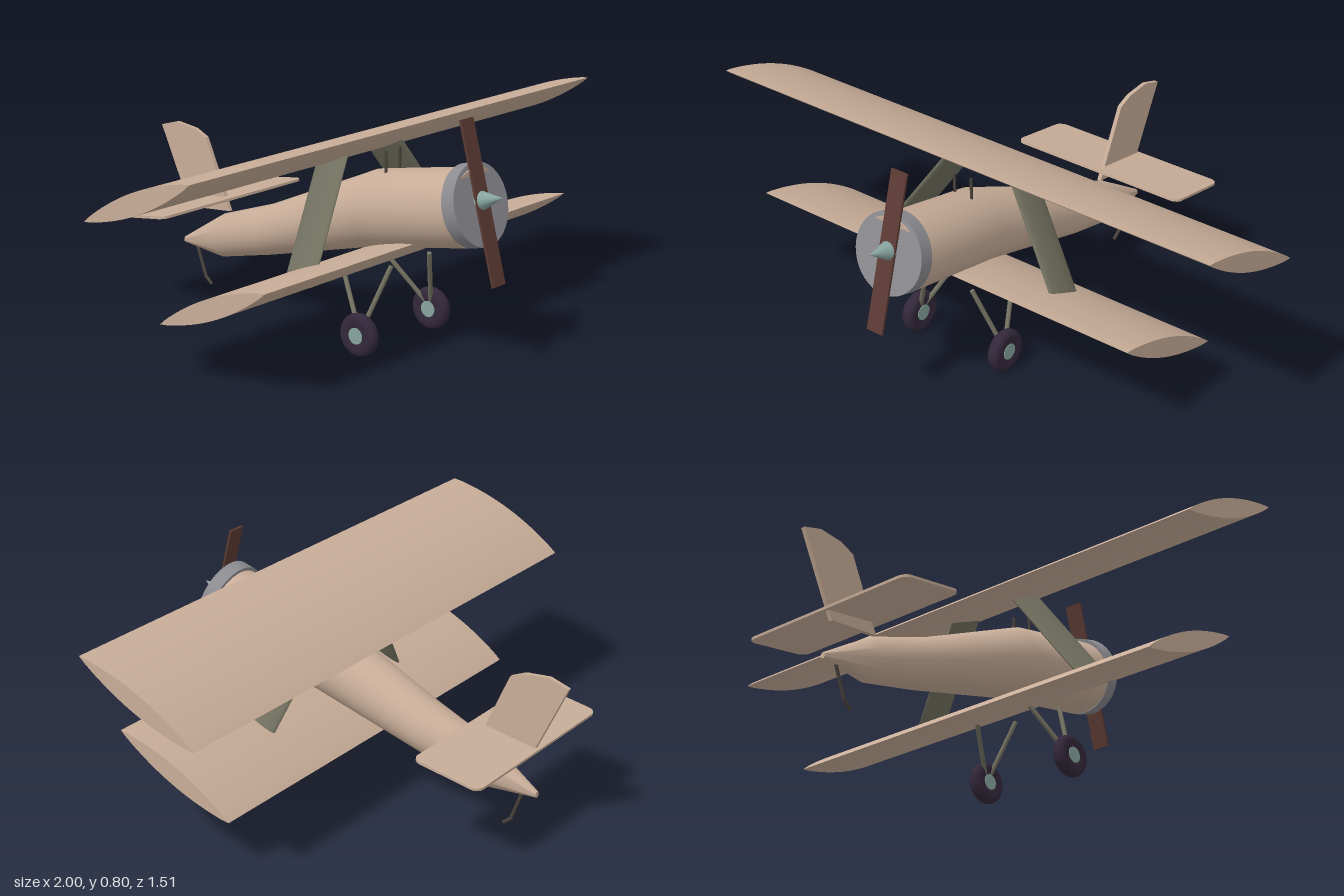
import * as THREE from 'three';
import { toCreasedNormals } from 'three/addons/utils/BufferGeometryUtils.js';

const paint = (name, color) => {
  const m = new THREE.MeshStandardMaterial({ color });
  m.name = name;
  return m;
};

// Skin a list of rings, with flat caps on both ends
function loft(rings, crease = 0.7) {
  const n = rings[0].length, pos = [], idx = [];
  rings.forEach(r => r.forEach(p => pos.push(p.x, p.y, p.z)));
  for (let i = 0; i < rings.length - 1; i++) {
    for (let j = 0; j < n; j++) {
      const a = i * n + j, b = i * n + (j + 1) % n, c = a + n, d = b + n;
      idx.push(a, c, b, b, c, d);
    }
  }
  const last = (rings.length - 1) * n;
  for (let j = 1; j < n - 1; j++) {
    idx.push(0, j, j + 1, last, last + j + 1, last + j);
  }
  const g = new THREE.BufferGeometry();
  g.setAttribute('position', new THREE.Float32BufferAttribute(pos, 3));
  g.setIndex(idx);
  return toCreasedNormals(g, crease);
}

// Ring of points around a centre, spanned by two half-axes
function ring(c, u, v, n = 32) {
  return Array.from({ length: n }, (_, j) => {
    const t = (j / n) * Math.PI * 2;
    return c.clone().addScaledVector(u, Math.cos(t)).addScaledVector(v, Math.sin(t));
  });
}

// Extrude a (z, y) side outline across x
function acrossX(points, width) {
  const g = new THREE.ExtrudeGeometry(new THREE.Shape(points), { depth: width, bevelEnabled: false });
  g.translate(0, 0, -width / 2).rotateY(-Math.PI / 2);
  return toCreasedNormals(g, 0.6);
}

// Leaf-shaped wing section from leading edge to trailing edge
function wingSection(le, te, half) {
  const dir = te.clone().sub(le), normal = new THREE.Vector2(dir.y, -dir.x).normalize();
  const pts = [], n = 20;
  for (let i = 0; i < 2 * n; i++) {
    const s = i <= n ? i / n : 2 - i / n;
    const t = half * Math.pow(Math.max(0, Math.sin(Math.PI * s)), 0.8) * (i <= n ? 1 : -1);
    pts.push(le.clone().addScaledVector(dir, s).addScaledVector(normal, t));
  }
  return pts;
}

export function createModel() {
  const model = new THREE.Group();
  model.name = 'biplane';
  const V = (x, y, z) => new THREE.Vector3(x, y, z);
  const P = (z, y) => new THREE.Vector2(z, y);

  const tan = paint('tan skin', 0xc8ad98);
  const olive = paint('olive struts', 0x72705f);
  const grey = paint('grey cowling', 0x8b8b90);
  const teal = paint('pale teal metal', 0x87a49e);
  const rubber = paint('dark rubber', 0x33283a);
  const wood = paint('dark wood', 0x5c3a33);
  const dark = paint('dark metal', 0x4a423c);

  const add = (name, geometry, material, parent = model) => {
    const m = new THREE.Mesh(geometry, material);
    m.name = name;
    parent.add(m);
    return m;
  };
  const rod = (name, a, b, r, material) => {
    const m = add(name, new THREE.CylinderGeometry(r, r, a.distanceTo(b), 12), material);
    m.position.copy(a).lerp(b, 0.5);
    m.quaternion.setFromUnitVectors(V(0, 1, 0), b.clone().sub(a).normalize());
    return m;
  };

  // Fuselage stations: z, centre height, half width, half height
  const stations = [
    [0.645, 0.519, 0.13, 0.132],
    [0.245, 0.446, 0.118, 0.131],
    [-0.217, 0.285, 0.09, 0.091],
    [-0.45, 0.219, 0.06, 0.079],
    [-0.648, 0.166, 0.01, 0.011],
  ];
  add('fuselage', loft(stations.map(([z, y, rx, ry]) =>
    ring(V(0, y, z), V(rx, 0, 0), V(0, ry, 0), 40))), tan);

  // Nose: cowling, propeller and spinner share one tilted axis
  const nose = new THREE.Group();
  nose.name = 'nose';
  nose.position.set(0, 0.534, 0.67);
  nose.rotation.x = -0.265;
  model.add(nose);
  add('cowling', new THREE.CylinderGeometry(0.136, 0.136, 0.05, 40)
    .rotateX(Math.PI / 2).translate(0, 0, -0.025), grey, nose);
  add('propeller', new THREE.BoxGeometry(0.064, 0.538, 0.008).translate(0, 0.005, 0.006), wood, nose);
  add('spinner', new THREE.ConeGeometry(0.034, 0.09, 28)
    .rotateX(Math.PI / 2).translate(0, 0.012, 0.045), teal, nose);

  // Wings
  add('upperWing', acrossX(wingSection(P(0.383, 0.744), P(-0.07, 0.551), 0.034), 2), tan);
  add('lowerWing', acrossX(wingSection(P(0.455, 0.377), P(0.008, 0.184), 0.034), 1.535), tan);

  // Tail fin
  add('tailFin', acrossX([P(-0.423, 0.312), P(-0.535, 0.56), P(-0.588, 0.584), P(-0.68, 0.595),
    P(-0.753, 0.574), P(-0.62, 0.294)].reverse(), 0.015), tan);

  // Tailplane with rounded corners
  const w = 0.35, h = 0.127, c = 0.03;
  const plan = new THREE.Shape();
  plan.absarc(w - c, h - c, c, 0, Math.PI / 2);
  plan.absarc(c - w, h - c, c, Math.PI / 2, Math.PI);
  plan.absarc(c - w, c - h, c, Math.PI, Math.PI * 1.5);
  plan.absarc(w - c, c - h, c, Math.PI * 1.5, Math.PI * 2);
  const tailplane = add('tailplane', toCreasedNormals(
    new THREE.ExtrudeGeometry(plan, { depth: 0.009, bevelEnabled: false, curveSegments: 6 })
      .translate(0, 0, -0.0045).rotateX(-Math.PI / 2), 0.6), tan);
  tailplane.position.set(0, 0.345, -0.525);
  tailplane.rotation.x = -0.14;

  // Tyre cross-section: radius, offset along the axle
  const tyre = [[0.026, -0.018], [0.05, -0.023], [0.064, -0.02], [0.071, -0.011], [0.073, 0],
    [0.071, 0.011], [0.064, 0.02], [0.05, 0.023], [0.026, 0.018]].map(p => new THREE.Vector2(...p));

  for (const s of [1, -1]) {
    const side = s > 0 ? 'left' : 'right';

    // Broad streamlined strut between the wings
    const chord = V(0, 0.028, 0.069), thick = V(0.018, 0, 0);
    add(side + 'WingStrut', loft([
      ring(V(s * 0.13, 0.632, 0.166), chord, thick, 28),
      ring(V(s * 0.39, 0.252, 0.243), chord, thick, 28),
    ]), olive);

    // Short rods under the upper wing
    rod(side + 'CabaneRod', V(s * 0.035, 0.54, 0.31), V(s * 0.035, 0.655, 0.31), 0.005, dark);

    // Landing gear legs and wheel
    rod(side + 'FrontLeg', V(s * 0.098, 0.297, 0.388), V(s * 0.185, 0.075, 0.33), 0.008, olive);
    rod(side + 'RearLeg', V(s * 0.098, 0.285, 0.17), V(s * 0.185, 0.075, 0.33), 0.008, olive);
    const wheel = new THREE.Group();
    wheel.name = side + 'Wheel';
    wheel.position.set(s * 0.187, 0.073, 0.33);
    wheel.rotation.z = Math.PI / 2;
    model.add(wheel);
    add('tyre', new THREE.LatheGeometry(tyre, 32), rubber, wheel);
    add('hub', new THREE.CylinderGeometry(0.028, 0.028, 0.042, 24), teal, wheel);
  }

  // Tail skid
  rod('skidLeg', V(0, 0.17, -0.597), V(0, 0.045, -0.55), 0.006, dark);
  rod('skidFoot', V(0, 0.047, -0.552), V(0, 0.022, -0.522), 0.006, dark);

  return model;
}
